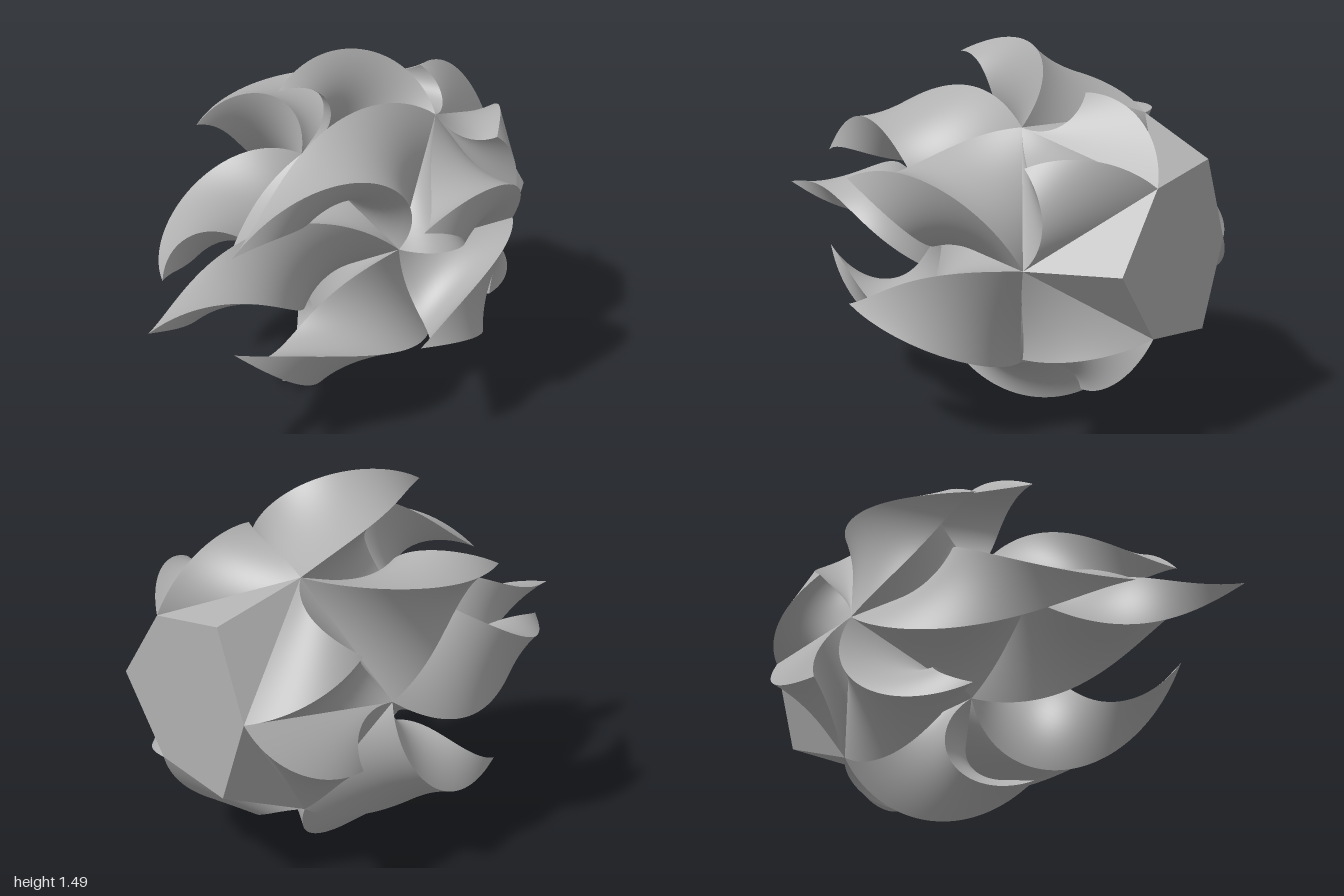
import * as THREE from 'three';

const R = 0.333;                       // circumradius of one icosahedron face
const PHI = (1 + Math.sqrt(5)) / 2;
const LEAN = Math.PI / 4;              // every curved horn leans forward by 45 degrees
const TWIST = Math.PI / 1.13;          // twist per unit of horn length
const FORWARD = new THREE.Vector3(0, 0, 1);

// Icosahedron corners in four rings of three around the z axis
function corners() {
  const rings = [[R, 0.436, 0], [R * PHI, 0.103, 60], [R * PHI, -0.103, 0], [R, -0.436, 60]];
  const out = [];
  for (const [r, z, start] of rings) {
    for (let k = 0; k < 3; k++) {
      const a = THREE.MathUtils.degToRad(start + 120 * k);
      out.push(new THREE.Vector3(r * Math.cos(a), r * Math.sin(a), z));
    }
  }
  return out;
}

// The 20 triangles, each counter-clockwise from outside
function faces() {
  const v = corners(), out = [];
  const near = (a, b) => a.distanceTo(b) < 0.65;
  for (let i = 0; i < 12; i++) for (let j = i + 1; j < 12; j++) for (let k = j + 1; k < 12; k++) {
    const [a, b, c] = [v[i], v[j], v[k]];
    if (!near(a, b) || !near(b, c) || !near(a, c)) continue;
    const outward = new THREE.Vector3().crossVectors(a, b).dot(c) > 0;
    out.push(outward ? [a, b, c] : [a, c, b]);
  }
  return out;
}

// Three separate side sheets, so that the edges between them stay sharp
function sheets(section, rows, cols) {
  const pos = [], index = [];
  for (let s = 0; s < 3; s++) {
    const base = pos.length / 3;
    for (let i = 0; i <= rows; i++) {
      const p = section(i / rows);
      for (let j = 0; j <= cols; j++) {
        pos.push(...p[s].clone().lerp(p[(s + 1) % 3], j / cols).toArray());
      }
    }
    for (let i = 0; i < rows; i++) for (let j = 0; j < cols; j++) {
      const a = base + i * (cols + 1) + j, d = a + cols + 1;
      index.push(a, a + 1, d);
      if (i < rows - 1) index.push(a + 1, d + 1, d);
    }
  }
  const geo = new THREE.BufferGeometry();
  geo.setAttribute('position', new THREE.Float32BufferAttribute(pos, 3));
  geo.setIndex(index);
  geo.computeVertexNormals();
  return geo;
}

// Tapering triangular horn: each section is twisted, lifted along the face
// normal, then leaned forward about the middle of the face
function hornGeometry(tri, centre, n, { length, lean, twist }, rows, cols) {
  const axis = new THREE.Vector3().crossVectors(n, FORWARD).normalize();
  const section = (t) => tri.map((p) => p.clone().sub(centre)
    .multiplyScalar(1 - t)
    .applyAxisAngle(n, twist * length * t)
    .addScaledVector(n, length * t)
    .applyAxisAngle(axis, lean * t)
    .add(centre));
  return sheets(section, rows, cols);
}

export function createModel() {
  const grey = new THREE.MeshStandardMaterial({ color: 0xb0b0b0, side: THREE.DoubleSide });
  grey.name = 'plain grey';
  const model = new THREE.Group();
  model.name = 'twistedHornStar';

  // Horn length by how far forward the face looks
  const kinds = [
    { min: 0.9, name: 'frontHorn', length: 1.13, lean: 0, twist: TWIST },
    { min: 0.6, name: 'innerHorn', length: 0.9, lean: LEAN, twist: TWIST },
    { min: 0.1, name: 'middleHorn', length: 0.59, lean: LEAN, twist: TWIST },
    { min: -0.5, name: 'outerHorn', length: 0.206, lean: LEAN, twist: TWIST },
    { min: -0.9, name: 'rearPyramid', length: 0.149, lean: 0, twist: 0 },
    { min: -2, name: 'rearFace', length: 0, lean: 0, twist: 0 },
  ];

  for (const tri of faces()) {
    const centre = new THREE.Vector3().add(tri[0]).add(tri[1]).add(tri[2]).divideScalar(3);
    const n = centre.clone().normalize();
    const kind = kinds.find((k) => n.z > k.min);
    const rows = kind.twist ? 64 : 1, cols = kind.twist ? 14 : 1;
    const mesh = new THREE.Mesh(hornGeometry(tri, centre, n, kind, rows, cols), grey);
    mesh.name = kind.name;
    mesh.position.set(-0.02, 0.745, -0.566);
    model.add(mesh);
  }
  return model;
}
